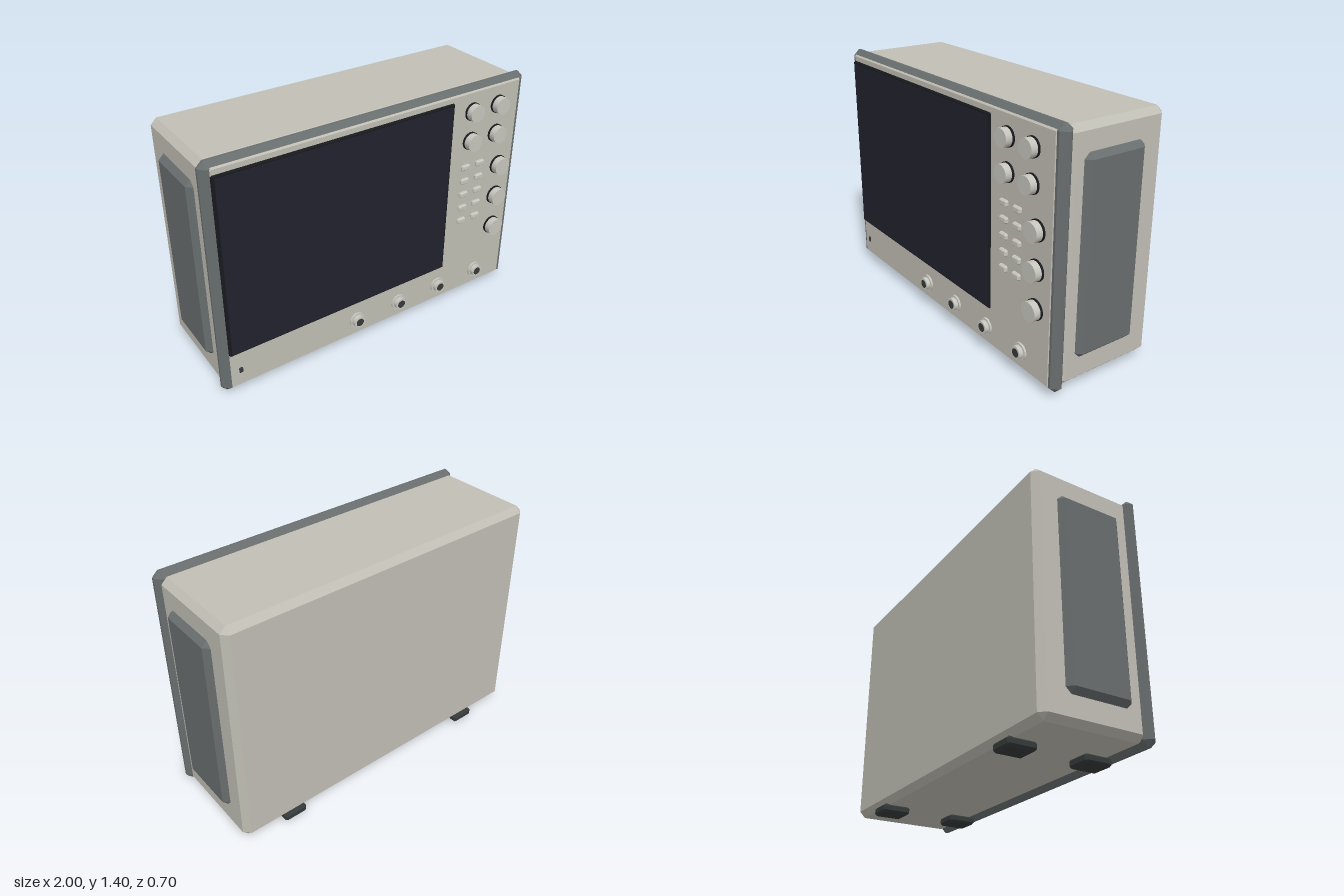
import * as THREE from 'three';
import { ConvexGeometry } from 'three/addons/geometries/ConvexGeometry.js';

const mat = (name, color) => {
  const m = new THREE.MeshStandardMaterial({ color });
  m.name = name;
  return m;
};

// Box between two corners with every edge cut at 45 degrees
function chamferBox(min, max, c) {
  const pts = [];
  for (const sx of [0, 1]) for (const sy of [0, 1]) for (const sz of [0, 1]) {
    const s = [sx, sy, sz];
    for (let flat = 0; flat < 3; flat++) {
      const p = s.map((side, i) => {
        const inset = i === flat ? 0 : c;
        return side ? max[i] - inset : min[i] + inset;
      });
      pts.push(new THREE.Vector3(...p));
    }
  }
  return new ConvexGeometry(pts);
}

export function createModel() {
  const model = new THREE.Group();
  model.name = 'benchInstrument';

  const casing = mat('warm grey casing', 0xc0beb4);
  const trim = mat('slate grey trim', 0x686d6d);
  const knobMat = mat('pale grey controls', 0xc6c5bd);
  const rubber = mat('dark rubber', 0x343a39);
  const frameMat = mat('black frame', 0x17191d);
  const glass = mat('dark blue glass', 0x22222d);

  const add = (name, geometry, material, parent = model) => {
    const mesh = new THREE.Mesh(geometry, material);
    mesh.name = name;
    parent.add(mesh);
    return mesh;
  };
  const box = (name, min, max, c, material, parent) =>
    add(name, chamferBox(min, max, c), material, parent);
  // Cylinder along z between two depths
  const disc = (name, x, y, r, z0, z1, material, parent) => {
    const g = new THREE.CylinderGeometry(r, r, z1 - z0, 32).rotateX(Math.PI / 2);
    add(name, g, material, parent).position.set(x, y, (z0 + z1) / 2);
  };
  const group = (name) => {
    const g = new THREE.Group();
    g.name = name;
    model.add(g);
    return g;
  };

  // Main housing
  box('housing', [-0.97, 0.043, -0.348], [0.97, 1.382, 0.245], 0.033, casing);
  box('bezel', [-0.988, 0.027, 0.222], [0.988, 1.4, 0.3], 0.032, trim);
  box('frontPanel', [-0.946, 0.055, 0.27], [0.946, 1.373, 0.304], 0.008, casing);

  // Raised panels on both sides
  box('leftSidePanel', [0.9, 0.185, -0.215], [1, 1.247, 0.16], 0.03, trim);
  box('rightSidePanel', [-1, 0.185, -0.215], [-0.9, 1.247, 0.16], 0.03, trim);

  // Display
  box('screenFrame', [-0.943, 0.275, 0.285], [0.47, 1.337, 0.315], 0.008, frameMat);
  add('screen', new THREE.BoxGeometry(1.385, 1.034, 0.004), glass)
    .position.set(-0.2365, 0.806, 0.3145);

  // Rotary knobs, each on a dark collar
  const knobs = group('knobs');
  const knobSpots = [
    [0.604, 1.256, 0.048], [0.789, 1.256, 0.048],
    [0.604, 1.08, 0.048], [0.789, 1.08, 0.048],
    [0.836, 0.865, 0.052], [0.836, 0.66, 0.052], [0.836, 0.449, 0.052],
  ];
  for (const [x, y, r] of knobSpots) {
    disc('knobCollar', x, y, r + 0.004, 0.295, 0.315, frameMat, knobs);
    disc('knob', x, y, r, 0.31, 0.352, knobMat, knobs);
  }

  // Push buttons in two columns
  const buttons = group('buttons');
  for (const x of [0.584, 0.689]) {
    for (let i = 0; i < 5; i++) {
      const y = 0.919 - i * 0.088;
      box('button', [x - 0.029, y - 0.017, 0.29], [x + 0.029, y + 0.017, 0.321], 0.007, knobMat, buttons);
    }
  }

  // Input connectors: flange, barrel and a dark socket
  const connectors = group('connectors');
  for (const x of [-0.15, 0.143, 0.436, 0.729]) {
    const y = 0.158;
    disc('connectorFlange', x, y, 0.047, 0.295, 0.315, knobMat, connectors);
    disc('connectorBarrel', x, y, 0.036, 0.31, 0.339, knobMat, connectors);
    disc('connectorSocket', x, y, 0.024, 0.335, 0.341, rubber, connectors);
  }

  // Power switch
  box('powerSwitch', [-0.896, 0.141, 0.295], [-0.874, 0.175, 0.312], 0.005, rubber);

  // Four feet
  const feet = group('feet');
  for (const x of [-0.647, 0.647]) {
    for (const z of [0.164, -0.268]) {
      box('foot', [x - 0.07, 0, z - 0.081], [x + 0.07, 0.048, z + 0.081], 0.012, rubber, feet);
    }
  }

  return model;
}
